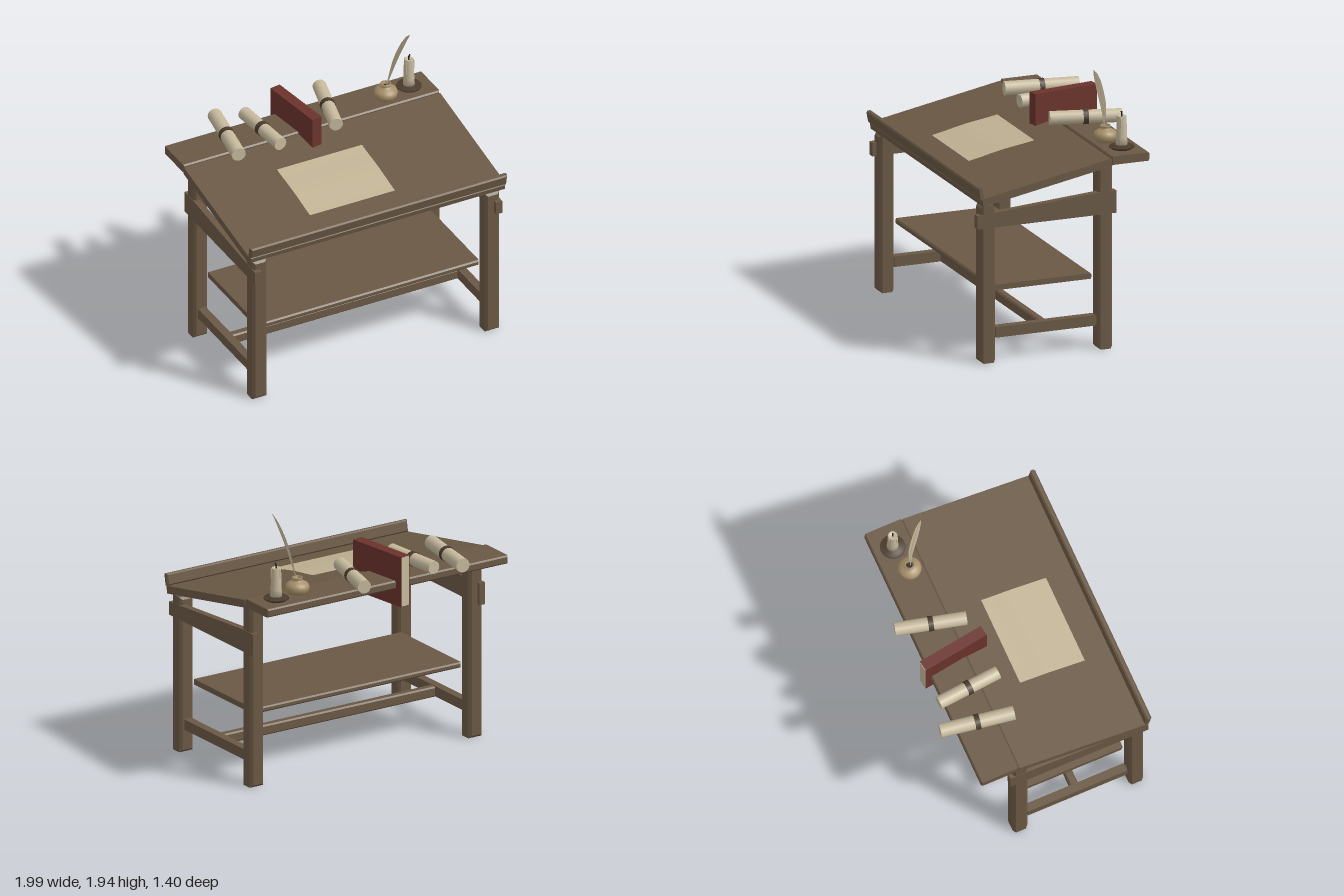
import * as THREE from 'three';

const mat = (name, color, double) => {
  const m = new THREE.MeshStandardMaterial({ color });
  m.name = name;
  if (double) m.side = THREE.DoubleSide;
  return m;
};

export function createModel() {
  const root = new THREE.Group();
  root.name = 'writingDesk';
  const wood = mat('wood', 0x6a5844);
  const darkWood = mat('darkWood', 0x4a3b2c);
  const red = mat('bookRed', 0x6b332c);
  const cream = mat('scrollCream', 0xc6b99d);
  const parchment = mat('parchment', 0xc0b294, true);
  const clay = mat('inkwellClay', 0xa68f69, true);
  const black = mat('wickBlack', 0x2b241f);

  const add = (name, geo, material, x = 0, y = 0, z = 0, parent = root) => {
    const m = new THREE.Mesh(geo, material);
    m.name = name;
    m.position.set(x, y, z);
    parent.add(m);
    return m;
  };

  // Box with chamfered edges, centred on its origin
  const plank = (w, h, d, b = 0.01) => {
    const x = w / 2 - b, y = h / 2 - b;
    const s = new THREE.Shape([[-x, -y], [x, -y], [x, y], [-x, y]].map(p => new THREE.Vector2(...p)));
    const g = new THREE.ExtrudeGeometry(s, {
      depth: d - 2 * b, bevelEnabled: true, bevelSize: b, bevelThickness: b, bevelSegments: 1
    });
    return g.translate(0, 0, -(d / 2 - b));
  };

  // Legs, tapered side beams and side stretchers
  const beamShape = new THREE.Shape([
    [-0.69, 0.97], [0.345, 0.97], [0.345, 1.13], [0.21, 1.13], [-0.55, 1.075], [-0.69, 1.065]
  ].map(p => new THREE.Vector2(...p)));
  for (const [side, s] of [['left', 1], ['right', -1]]) {
    add(side + 'FrontLeg', plank(0.11, 1.13, 0.11, 0.018), wood, s * 0.903, 0.565, 0.605);
    add(side + 'BackLeg', plank(0.11, 1.34, 0.11, 0.018), wood, s * 0.903, 0.67, -0.265);
    const beam = new THREE.ExtrudeGeometry(beamShape, { depth: 0.048, bevelEnabled: false });
    beam.translate(0, 0, -0.024).rotateY(Math.PI / 2);
    add(side + 'SideBeam', beam, wood, s * 0.936);
    add(side + 'Stretcher', plank(0.06, 0.075, 0.76), wood, s * 0.903, 0.207, 0.17);
  }
  add('longStretcher', plank(1.76, 0.075, 0.06), wood, 0, 0.203, 0.17);
  add('lowerShelf', plank(1.715, 0.04, 0.75), wood, 0, 0.505, 0.17);
  add('backShelf', plank(1.99, 0.06, 0.285), wood, 0, 1.357, -0.437);

  // Sloping top with lip and sheet
  const top = new THREE.Group();
  top.name = 'slopingTop';
  top.position.set(0, 1.256, 0.185);
  top.rotation.x = 0.187;
  root.add(top);
  add('board', plank(1.99, 0.055, 0.995), wood, 0, 0, 0, top);
  add('lip', plank(1.99, 0.085, 0.042), wood, 0, 0.07, 0.486, top);
  const sheet = new THREE.PlaneGeometry(0.66, 0.495, 1, 16).rotateX(-Math.PI / 2);
  const sp = sheet.attributes.position;
  for (let i = 0; i < sp.count; i++) sp.setY(i, 0.003 * Math.cos(sp.getZ(i) * 14));
  sheet.computeVertexNormals();
  add('parchmentSheet', sheet, parchment, -0.08, 0.034, 0.023, top);

  // Tied scrolls: ends given as x, z
  [[-0.545, -0.69, -0.63, -0.172, 0.05], [-0.355, -0.615, -0.315, -0.155, 0.047],
    [0.26, -0.675, 0.135, -0.19, 0.048]].forEach(([x0, z0, x1, z1, r]) => {
    const g = new THREE.Group();
    g.name = 'scroll';
    g.position.set((x0 + x1) / 2, 1.436, (z0 + z1) / 2);
    g.rotation.y = Math.atan2(x1 - x0, z1 - z0);
    root.add(g);
    const len = Math.hypot(x1 - x0, z1 - z0);
    add('roll', new THREE.CylinderGeometry(r, r, len, 16).rotateX(Math.PI / 2), cream, 0, 0, 0, g);
    add('tie', new THREE.CylinderGeometry(r + 0.005, r + 0.005, 0.036, 16).rotateX(Math.PI / 2), darkWood, 0, 0, 0, g);
  });

  // Upright book with its page edges to the back
  const book = new THREE.Group();
  book.name = 'book';
  book.position.set(-0.075, 1.39, -0.382);
  book.rotation.y = 0.14;
  root.add(book);
  add('cover', new THREE.BoxGeometry(0.078, 0.364, 0.492), red, 0, 0, 0, book);
  add('pages', new THREE.BoxGeometry(0.066, 0.356, 0.006), cream, 0, 0, -0.2465, book);

  const lathe = (pts, n) => new THREE.LatheGeometry(pts.map(p => new THREE.Vector2(...p)), n);

  // Inkwell
  add('inkwell', lathe([[0, 0], [0.06, 0], [0.08, 0.02], [0.084, 0.045], [0.076, 0.068], [0.05, 0.084],
    [0.032, 0.09], [0.03, 0.102], [0.037, 0.106], [0.037, 0.115], [0.024, 0.115], [0.022, 0.085]], 24),
  clay, 0.63, 1.386, -0.4);
  add('ink', new THREE.CircleGeometry(0.024, 20).rotateX(-Math.PI / 2), black, 0.63, 1.48, -0.4);

  // Quill: vane swept from rows of x, y, front z, back z
  const rows = [[0.634, 1.5, -0.386, -0.392], [0.645, 1.54, -0.376, -0.394], [0.66, 1.6, -0.362, -0.394],
    [0.675, 1.68, -0.338, -0.384], [0.694, 1.77, -0.31, -0.36], [0.715, 1.85, -0.285, -0.33],
    [0.733, 1.91, -0.268, -0.297], [0.745, 1.94, -0.262, -0.268]];
  const pos = [], idx = [];
  rows.forEach(([x, y, a, b], i) => {
    pos.push(x, y, a, x, y, b);
    if (i) { const k = 2 * i; idx.push(k - 2, k - 1, k, k - 1, k + 1, k); }
  });
  const vane = new THREE.BufferGeometry();
  vane.setAttribute('position', new THREE.Float32BufferAttribute(pos, 3));
  vane.setIndex(idx);
  vane.computeVertexNormals();
  add('quillVane', vane, parchment);
  const spine = new THREE.CatmullRomCurve3([new THREE.Vector3(0.625, 1.44, -0.4),
    ...rows.map(([x, y, a, b]) => new THREE.Vector3(x, y, (a + b) / 2))]);
  add('quillShaft', new THREE.TubeGeometry(spine, 24, 0.0035, 6), parchment);

  // Candle on its dish
  const candle = new THREE.Group();
  candle.name = 'candle';
  candle.position.set(0.83, 1.386, -0.437);
  root.add(candle);
  add('dish', lathe([[0, 0], [0.07, 0], [0.088, 0.012], [0.086, 0.02], [0.06, 0.016], [0.046, 0.03], [0, 0.03]], 24),
    darkWood, 0, 0, 0, candle);
  add('wax', lathe([[0, 0.024], [0.042, 0.024], [0.038, 0.08], [0.034, 0.23], [0.028, 0.236], [0.018, 0.228], [0, 0.226]], 20),
    cream, 0, 0, 0, candle);
  [[0.5, 0.19, 0.06], [2.6, 0.17, 0.09], [4.4, 0.2, 0.05]].forEach(([a, y, l]) =>
    add('waxDrip', new THREE.CapsuleGeometry(0.007, l, 4, 8), cream, 0.033 * Math.cos(a), y, 0.033 * Math.sin(a), candle));
  const wick = new THREE.CatmullRomCurve3([[0, 0.22, 0], [0, 0.248, 0], [0.008, 0.272, 0.004]].map(p => new THREE.Vector3(...p)));
  add('wick', new THREE.TubeGeometry(wick, 8, 0.006, 8), black, 0, 0, 0, candle);

  return root;
}
